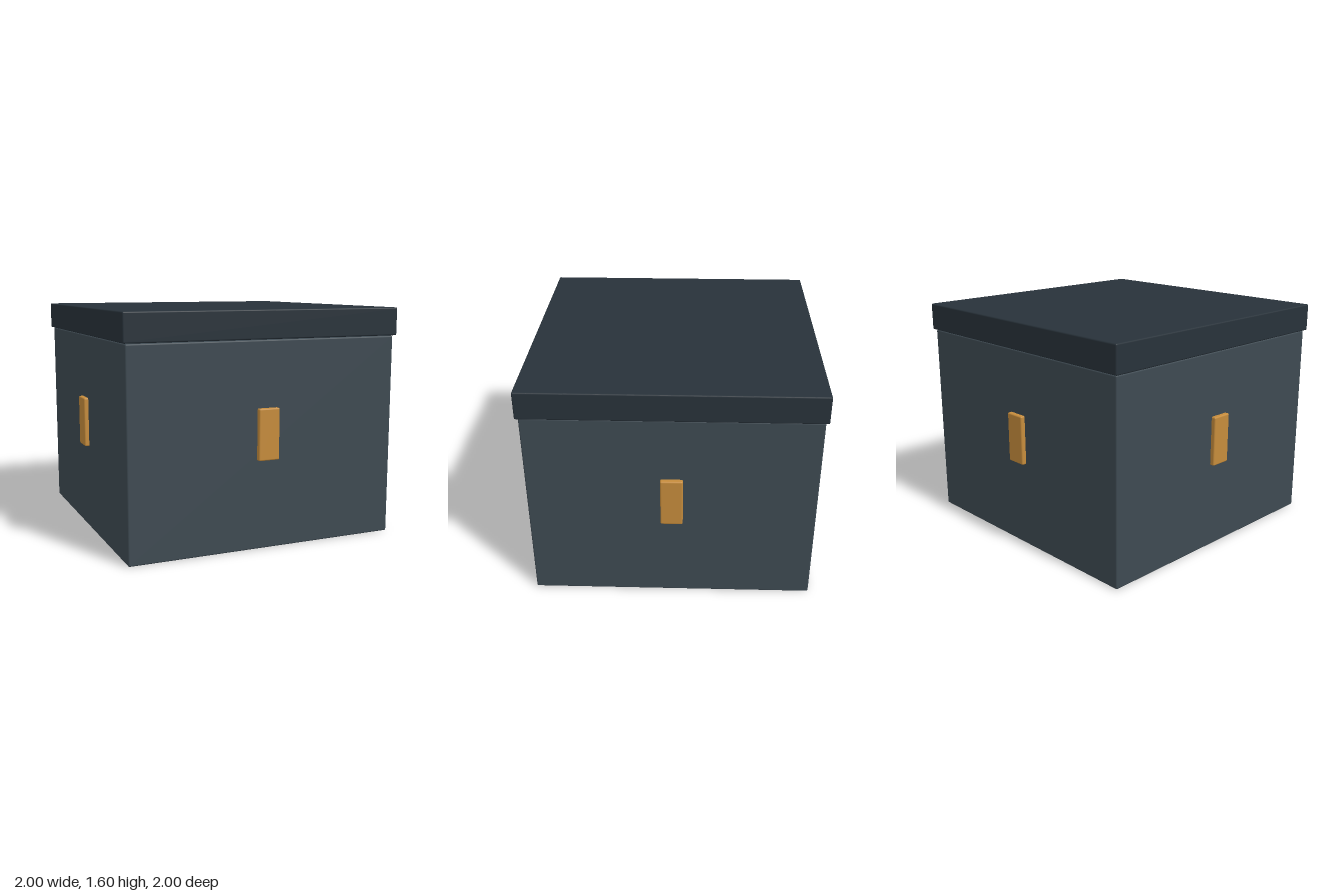
import * as THREE from 'three';
import { RoundedBoxGeometry } from 'three/addons/geometries/RoundedBoxGeometry.js';

const material = (color) => new THREE.MeshStandardMaterial({ color });

// Softly bevelled block, placed by its bottom height
function block(name, width, height, depth, bottom, radius, mat) {
  const mesh = new THREE.Mesh(new RoundedBoxGeometry(width, height, depth, 3, radius), mat);
  mesh.name = name;
  mesh.position.y = bottom + height / 2;
  return mesh;
}

export function createModel() {
  const model = new THREE.Group();
  model.name = 'lidded box';

  // Body and the slightly wider lid
  model.add(block('body', 1.938, 1.4, 1.938, 0, 0.01, material(0x3e4a52)));
  model.add(block('lid', 1.976, 0.192, 1.976, 1.404, 0.01, material(0x28323a)));

  // One tab in the middle of each side, sunk into the body
  const tabMaterial = material(0xc68c3c);
  const thickness = 0.06;
  ['frontTab', 'leftTab', 'backTab', 'rightTab'].forEach((name, i) => {
    const side = new THREE.Group();
    side.name = name;
    const tab = block(name + 'Plate', 0.15, 0.348, thickness, 0.606, 0.01, tabMaterial);
    tab.position.z = 1 - thickness / 2;
    side.add(tab);
    side.rotation.y = (i * Math.PI) / 2;
    model.add(side);
  });

  return model;
}
